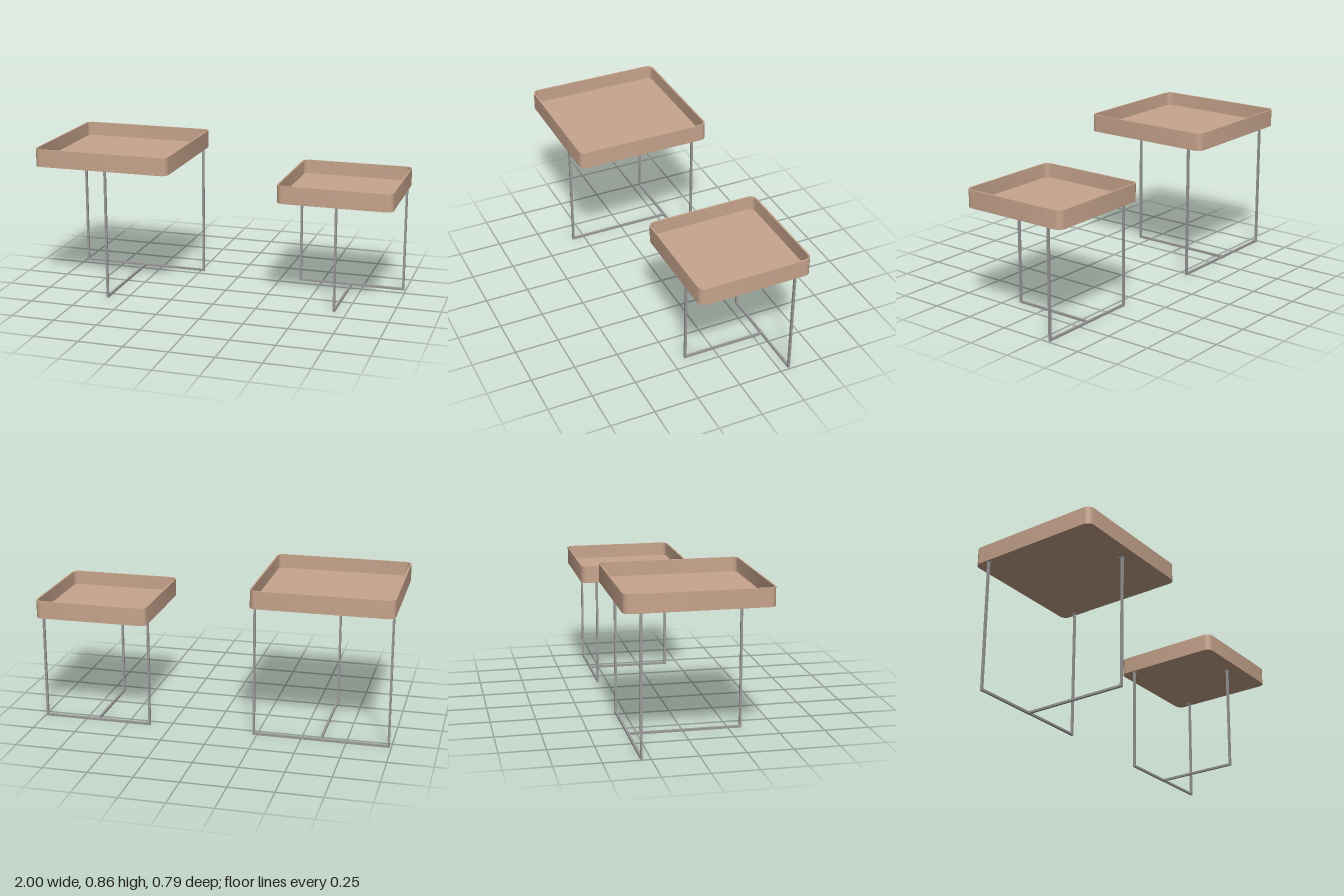
import * as THREE from 'three';
import { toCreasedNormals } from 'three/addons/utils/BufferGeometryUtils.js';

const BAR = 0.0125, WALL = 0.009, HEIGHT = 0.1, FLOOR = 0.02, PAD = 0.024;

// Square outline with rounded corners, centred on the origin
function roundedSquare(size, r) {
  const h = size / 2, s = new THREE.Shape();
  s.absarc(h - r, h - r, r, 0, Math.PI / 2);
  s.absarc(-h + r, h - r, r, Math.PI / 2, Math.PI);
  s.absarc(-h + r, -h + r, r, Math.PI, Math.PI * 1.5);
  s.absarc(h - r, -h + r, r, Math.PI * 1.5, Math.PI * 2);
  s.closePath();
  return s;
}

function slab(shape, depth) {
  const g = new THREE.ExtrudeGeometry(shape, { depth, bevelEnabled: false, curveSegments: 8 });
  g.rotateX(-Math.PI / 2);
  return toCreasedNormals(g, 0.6);
}

function createTable(name, t, wood, metal) {
  const table = new THREE.Group();
  table.name = name;
  const add = (part, geometry, material, x, y, z) => {
    const m = new THREE.Mesh(geometry, material);
    m.name = part;
    m.position.set(x, y, z);
    table.add(m);
  };
  const box = (part, w, h, d, x, y, z) => add(part, new THREE.BoxGeometry(w, h, d), metal, x, y, z);

  // Tray: rim wall around a sunken floor
  const r = 0.04;
  const rim = roundedSquare(t.size, r);
  const inner = () => roundedSquare(t.size - 2 * WALL, r - WALL);
  rim.holes.push(inner());
  add('trayRim', slab(rim, HEIGHT), wood, t.x, t.trayY, t.z);
  add('trayFloor', slab(inner(), FLOOR), wood, t.x, t.trayY, t.z);

  // Three upright legs, each with a mounting pad reaching inward
  const padH = 0.004, legH = t.trayY - padH, padY = t.trayY - padH / 2;
  const half = (t.right - t.left - BAR) / 2, mid = (t.left + t.right) / 2;
  const inset = (PAD - BAR) / 2;
  for (const side of [-1, 1]) {
    box('backLeg', BAR, legH, BAR, mid + side * half, legH / 2, t.backZ);
    box('backPad', PAD, padH, PAD, mid + side * (half - inset), padY, t.backZ);
  }
  box('frontLeg', BAR, legH, BAR, mid, legH / 2, t.frontZ);
  box('frontPad', PAD, padH, PAD, mid, padY, t.frontZ - inset);

  // T-shaped floor frame
  box('backFloorBar', 2 * half - BAR, BAR, BAR, mid, BAR / 2, t.backZ);
  const run = t.frontZ - t.backZ - BAR;
  box('centreFloorBar', BAR, BAR, run, mid, BAR / 2, (t.frontZ + t.backZ) / 2);
  return table;
}

export function createModel() {
  const wood = new THREE.MeshStandardMaterial({ color: 0xc8a58d });
  wood.name = 'tanTray';
  const metal = new THREE.MeshStandardMaterial({ color: 0x999999 });
  metal.name = 'greyMetal';

  const model = new THREE.Group();
  model.name = 'nestingTables';
  model.add(
    createTable('largeTable', {
      size: 0.783, x: -0.6085, z: 0.003, trayY: 0.76,
      left: -0.991, right: -0.226, backZ: -0.299, frontZ: 0.317,
    }, wood, metal),
    createTable('smallTable', {
      size: 0.643, x: 0.6785, z: -0.073, trayY: 0.617,
      left: 0.366, right: 0.991, backZ: -0.304, frontZ: 0.171,
    }, wood, metal),
  );
  return model;
}
